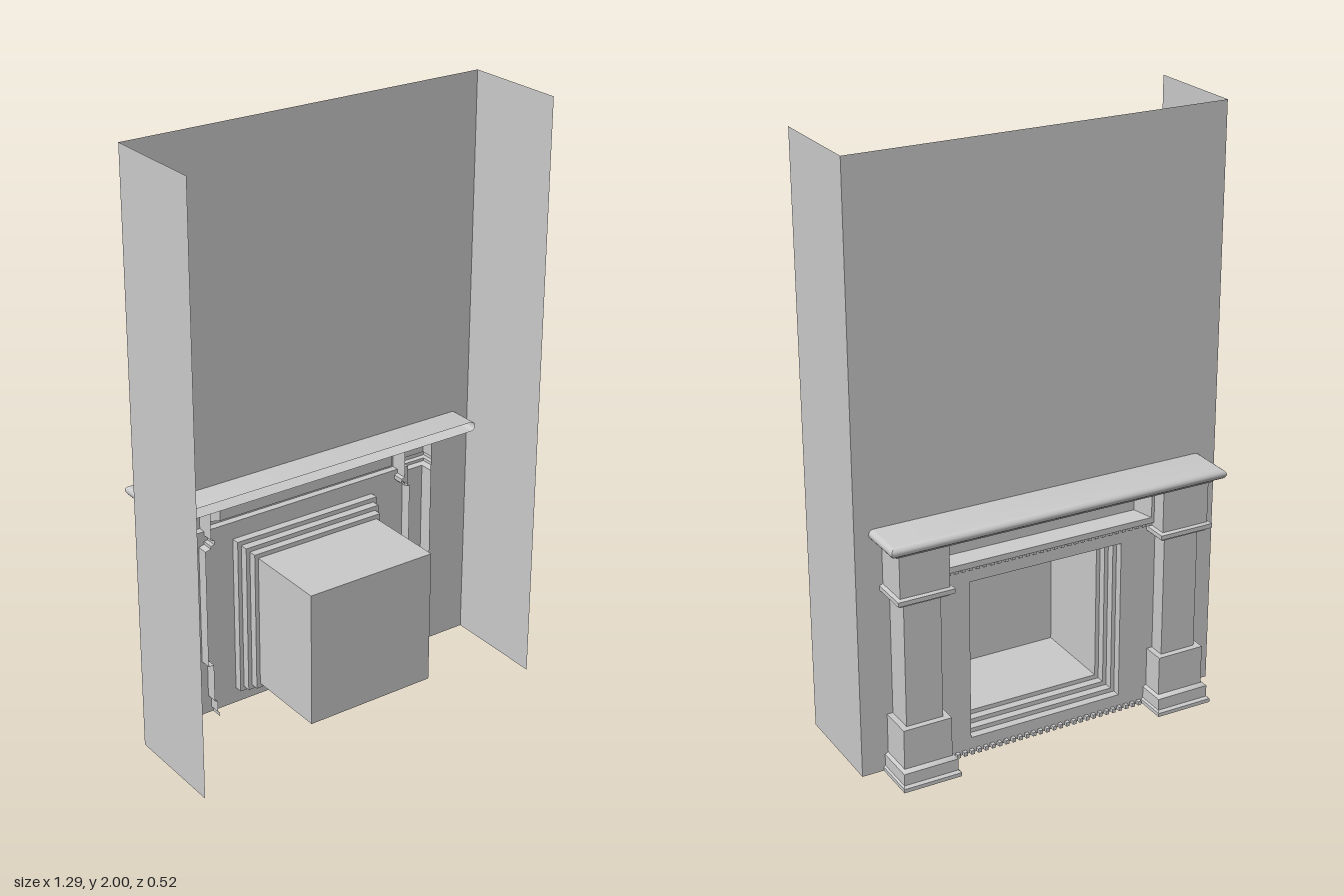
import * as THREE from 'three';
import { toCreasedNormals } from 'three/addons/utils/BufferGeometryUtils.js';

const material = new THREE.MeshStandardMaterial({ color: 0xcccccc, side: THREE.DoubleSide });
const CX = 0.005;        // centre line of the fireplace
const WALL_Z = -0.1;
const PANEL_Z = -0.14;
const FRIEZE_Z = -0.165;

function addMesh(parent, name, geometry) {
  const mesh = new THREE.Mesh(geometry, material);
  mesh.name = name;
  parent.add(mesh);
  return mesh;
}

// Skins a list of equal-length point loops, leaving out empty triangles.
function loft(loops, closed) {
  const pos = [];
  const n = loops[0].length;
  const tri = new THREE.Triangle();
  const face = (...pts) => {
    tri.set(...pts.map((p) => new THREE.Vector3(...p)));
    if (tri.getArea() > 1e-9) pts.forEach((p) => pos.push(...p));
  };
  for (let i = 0; i < loops.length - 1; i++) {
    for (let k = 0; k < (closed ? n : n - 1); k++) {
      const j = (k + 1) % n;
      const [a, b] = [loops[i], loops[i + 1]];
      face(a[j], a[k], b[k]);
      face(a[j], b[k], b[j]);
    }
  }
  const g = new THREE.BufferGeometry();
  g.setAttribute('position', new THREE.Float32BufferAttribute(pos, 3));
  return toCreasedNormals(g, 0.7);
}

// Three-sided moulding, open at the back; rows are [half width, front z, y], bottom to top.
function moulding(cx, rows, backZ) {
  return loft(rows.map(([w, z, y]) => [
    [cx - w, y, backZ], [cx - w, y, z], [cx + w, y, z], [cx + w, y, backZ],
  ]), false);
}

// Recess going back in steps; rows are [half width, half height, z], ending in a closed back.
function recess(cy, rows) {
  const last = rows[rows.length - 1];
  return loft([...rows, [0, 0, last[2]]].map(([w, h, z]) => [
    [CX - w, cy - h, z], [CX + w, cy - h, z], [CX + w, cy + h, z], [CX - w, cy + h, z],
  ]), true);
}

// Flat upright sheet with a rectangular hole; boxes are [x0, y0, x1, y1].
function sheet([x0, y0, x1, y1], hole, z) {
  const corners = (a, b, c, d) => [[a, b], [c, b], [c, d], [a, d]].map((p) => new THREE.Vector2(...p));
  const shape = new THREE.Shape(corners(x0, y0, x1, y1));
  shape.holes.push(new THREE.Path(corners(...hole).reverse()));
  const g = new THREE.ShapeGeometry(shape);
  g.rotateY(Math.PI); // face the room, on the -z side
  g.scale(-1, 1, 1);
  const index = g.getIndex(); // restore the winding after the flip
  for (let i = 0; i < index.count; i += 3) {
    const t = index.getX(i);
    index.setX(i, index.getX(i + 1));
    index.setX(i + 1, t);
  }
  g.computeVertexNormals();
  return g.translate(0, 0, z);
}

export function createModel() {
  const model = new THREE.Group();
  model.name = 'fireplace';

  // Chimney breast: front wall with an opening behind the surround, and two returns
  const wall = new THREE.Group();
  wall.name = 'chimneyBreast';
  model.add(wall);
  const front = new THREE.Shape();
  [[-0.643, 0], [-0.504, 0], [-0.504, 0.77], [0.494, 0.77], [0.494, 0], [0.643, 0], [0.643, 2], [-0.643, 2]]
    .forEach(([x, y], i) => (i ? front.lineTo(-x, y) : front.moveTo(-x, y)));
  addMesh(wall, 'frontWall', new THREE.ShapeGeometry(front).rotateY(Math.PI).translate(0, 0, WALL_Z));
  for (const s of [-1, 1]) {
    const side = addMesh(wall, s > 0 ? 'leftWall' : 'rightWall', new THREE.PlaneGeometry(0.36, 2));
    side.rotation.y = s * Math.PI / 2;
    side.position.set(s * 0.643, 1, WALL_Z + 0.18);
  }

  // Mantel shelf: bed moulding, rounded nosing and flat top
  const nosing = [];
  for (let i = 0; i <= 8; i++) {
    const a = -Math.PI / 2 + (i / 8) * Math.PI;
    const r = 0.0165 * Math.cos(a);
    nosing.push([0.5735 + r, -0.2415 - r, 0.8285 + 0.0165 * Math.sin(a)]);
  }
  addMesh(model, 'mantelShelf', moulding(CX, [
    [0.5735, 0.003, 0.812], ...nosing, [0.5735, 0.003, 0.845],
  ], 0.003));
  addMesh(model, 'bedMoulding', moulding(CX, [
    [0.56, WALL_Z, 0.797], [0.56, -0.225, 0.797], [0.565, -0.23, 0.812],
  ], WALL_Z));

  // Pilasters: plinth, base block, shaft, necking and capital
  const pilaster = [
    [0.1, -0.248, 0], [0.1, -0.248, 0.013], [0.094, -0.236, 0.018], [0.094, -0.236, 0.058],
    [0.083, -0.217, 0.064], [0.083, -0.217, 0.2],
    [0.063, -0.196, 0.2], [0.063, -0.196, 0.62],
    [0.083, -0.214, 0.625], [0.083, -0.214, 0.635], [0.096, -0.23, 0.637], [0.096, -0.23, 0.652],
    [0.084, -0.218, 0.656], [0.084, -0.218, 0.8],
  ];
  for (const s of [-1, 1]) {
    addMesh(model, s > 0 ? 'leftPilaster' : 'rightPilaster', moulding(CX + s * 0.464, pilaster, WALL_Z));
  }

  // Surround panel around the stepped opening
  const cy = 0.3325;
  addMesh(model, 'surroundPanel',
    sheet([-0.419, 0, 0.43, 0.67], [CX - 0.274, cy - 0.2775, CX + 0.274, cy + 0.2775], PANEL_Z));

  // Stepped frame narrowing into the firebox
  const steps = [];
  for (let i = 0; i < 4; i++) {
    const w = 0.274 - i * 0.0137;
    const h = 0.2775 - i * 0.015;
    steps.push([w, h, PANEL_Z + i * 0.028], [w, h, i < 3 ? PANEL_Z + (i + 1) * 0.028 : 0.236]);
  }
  addMesh(model, 'firebox', recess(cy, steps));

  // Frieze with a bevelled sunk panel and a small ledge below
  addMesh(model, 'frieze',
    sheet([-0.419, 0.67, 0.43, 0.812], [CX - 0.37, 0.69, CX + 0.37, 0.77], FRIEZE_Z));
  addMesh(model, 'friezePanel', recess(0.73, [[0.37, 0.04, FRIEZE_Z], [0.335, 0.025, -0.115]]));
  addMesh(model, 'friezeLedge', moulding(CX, [[0.424, PANEL_Z, 0.67], [0.424, FRIEZE_Z, 0.67]], PANEL_Z));

  // Rows of small dentils along the top and bottom of the panel
  const dentils = new THREE.Group();
  dentils.name = 'dentils';
  model.add(dentils);
  const tooth = new THREE.BoxGeometry(0.012, 0.014, 0.014);
  for (const y of [0.663, 0.008]) {
    for (let i = 0; i < 31; i++) {
      addMesh(dentils, 'dentil', tooth).position.set(CX - 0.375 + i * 0.025, y, PANEL_Z - 0.007);
    }
  }
  return model;
}
